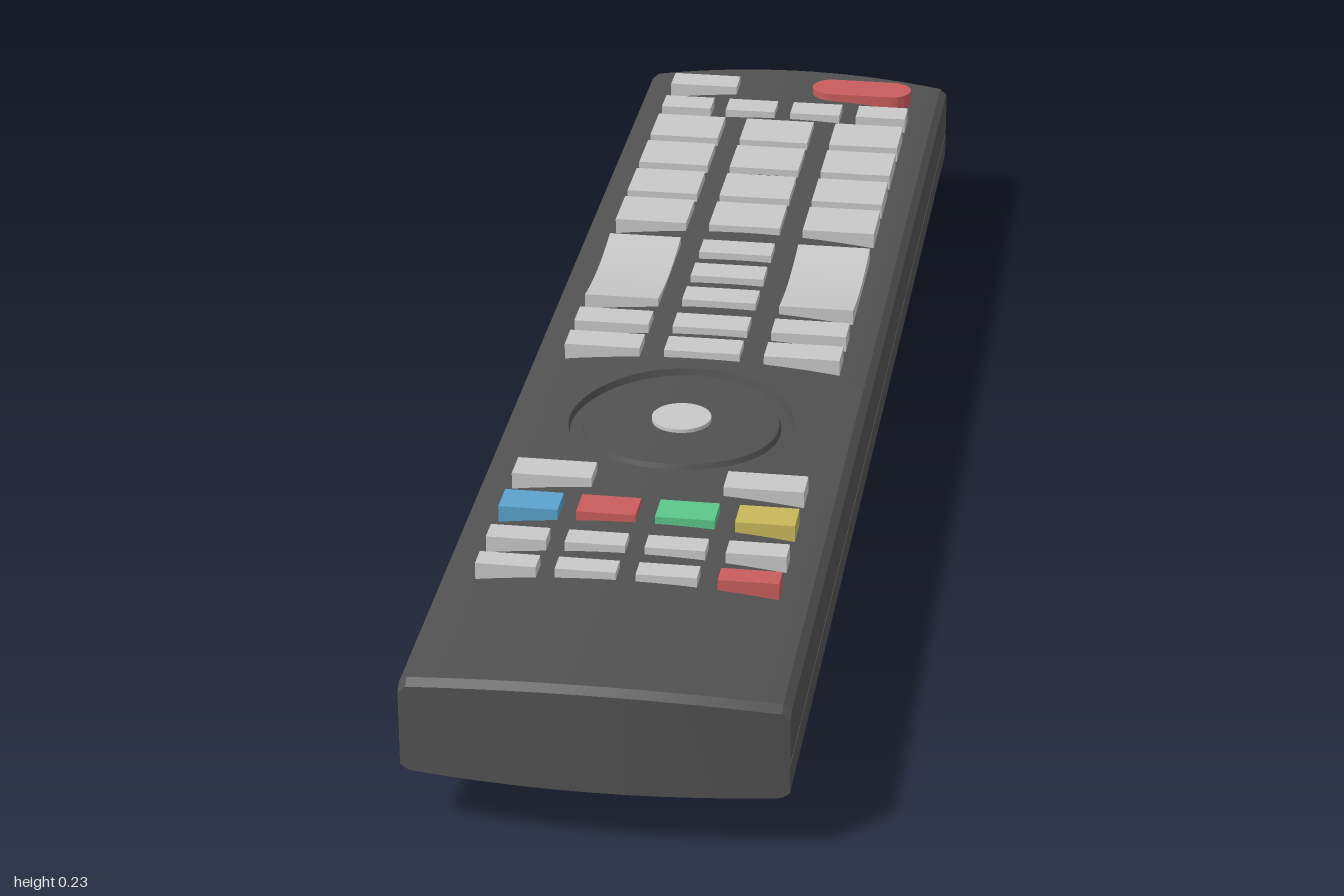
import * as THREE from 'three';
import { toCreasedNormals } from 'three/addons/utils/BufferGeometryUtils.js';

const W = 0.238, TOP = 0.228, DIAL_Z = 0.27;
const crown = x => 0.225 - 0.018 * (x / TOP) ** 2;
const lerp = THREE.MathUtils.lerp;
const P = (x, y, z) => new THREE.Vector3(x, y, z);

function material(name, color) {
  const m = new THREE.MeshStandardMaterial({ color });
  m.name = name;
  return m;
}

function fromTriangles(points) {
  return toCreasedNormals(new THREE.BufferGeometry().setFromPoints(points), 0.45);
}

// Skin a list of closed rings; keep(ring, i) can leave quads out
function loft(rings, keep = () => true) {
  const out = [];
  for (let r = 0; r + 1 < rings.length; r++) {
    const a = rings[r], b = rings[r + 1], n = a.length;
    for (let i = 0; i < n; i++) {
      if (!keep(r, i)) continue;
      const j = (i + 1) % n;
      out.push(a[i], a[j], b[j], a[i], b[j], b[i]);
    }
  }
  return out;
}

// Height of the underside: sloped ends and a finger hollow
function underside(z) {
  const u = (z - 0.05) / 0.12;
  if (Math.abs(u) < 1) return 0.007 + 0.028 * (1 - u * u);
  const keys = [[-1, 0.083], [-0.86, 0.016], [-0.82, 0.007], [0.82, 0.007], [0.85, 0.016], [0.978, 0.083]];
  for (let i = 0; i < 5; i++) {
    const [z0, y0] = keys[i], [z1, y1] = keys[i + 1];
    if (z <= z1) return lerp(y0, y1, (z - z0) / (z1 - z0));
  }
  return 0.083;
}

// Cross-section of the case at z, as matching top and bottom rows plus seam grooves
function section(z) {
  const drop = z === -1 || z === 0.978 ? 0.008 : 0;
  const yb = underside(z), r = Math.min(0.015, 0.088 - yb);
  const slant = y => W - (0.09 - y) * 1.2;
  const place = ([x, y]) => P(x, y, z + (z > 0.9 ? 0.022 * (1 - (x / W) ** 2) : 0));
  const top = [[W, 0.198 - drop]];
  for (let i = 0; i <= 16; i++) {
    const x = lerp(TOP, -TOP, i / 16);
    top.push([x, crown(x) - drop]);
  }
  top.push([-W, 0.198 - drop]);
  const bend = new THREE.QuadraticBezierCurve(
    new THREE.Vector2(slant(yb + r), yb + r), new THREE.Vector2(slant(yb), yb),
    new THREE.Vector2(slant(yb) - 1.2 * r, yb)).getPoints(3).map(p => [p.x, p.y]);
  const side = [[W, 0.09], ...bend], flat = bend[3][0];
  const bottom = [...side];
  for (let i = 1; i <= 9; i++) bottom.push([lerp(flat, -flat, i / 10), yb]);
  bottom.push(...side.map(([x, y]) => [-x, y]).reverse());
  const groove = [[W, 0.127], [0.226, 0.127], [0.226, 0.131], [W, 0.131]];
  const loop = [...top, ...groove.map(([x, y]) => [-x, y]).reverse(), ...[...bottom].reverse(), ...groove];
  return { loop: loop.map(place), top: top.map(place), bottom: bottom.map(place) };
}

function caseGeometry() {
  const zs = [-1, -0.99, -0.86, -0.84, -0.82];
  for (let i = 0; i <= 12; i++) zs.push(-0.07 + 0.02 * i);
  zs.push(0.43, 0.82, 0.835, 0.85, 0.968, 0.978);
  const sections = zs.map(section);
  // The crown is left open around the dial
  const open = r => { const m = (zs[r] + zs[r + 1]) / 2; return m > 0.11 && m < 0.43; };
  const tris = loft(sections.map(s => s.loop), (r, i) => !(open(r) && i >= 1 && i <= 16));
  // Curved front wall
  const { top, bottom } = sections[sections.length - 1];
  for (let i = 0; i + 1 < top.length; i++) {
    tris.push(top[i], top[i + 1], bottom[i + 1], top[i], bottom[i + 1], bottom[i]);
  }
  return fromTriangles(tris);
}

// Crown around the dial, its ring groove and the slightly sunk disc
function dialGeometry() {
  const edge = [], H = 0.16, n = 16;
  for (let i = 0; i < n; i++) edge.push([lerp(-TOP, TOP, i / n), H]);
  for (let i = 0; i < n; i++) edge.push([TOP, lerp(H, -H, i / n)]);
  for (let i = 0; i < n; i++) edge.push([lerp(TOP, -TOP, i / n), -H]);
  for (let i = 0; i < n; i++) edge.push([-TOP, lerp(-H, H, i / n)]);
  const ring = (radius, depth, t = 1) => edge.map(([x, z]) => {
    const k = radius / Math.hypot(x, z);
    const px = lerp(x, x * k, t), pz = lerp(z, z * k, t);
    return P(px, crown(px) - depth, DIAL_Z + pz);
  });
  return fromTriangles(loft([
    ring(0.152, 0, 0), ring(0.152, 0, 0.5), ring(0.152, 0), ring(0.15, 0.01), ring(0.134, 0.01),
    ring(0.131, 0.003), ring(0.08, 0.003), ring(0.02, 0.003)]));
}

// Arched niche outline in the back wall
function archPoints() {
  const pts = [[0.08, 0.09]];
  for (let i = 0; i <= 20; i++) {
    const a = Math.PI * i / 20;
    pts.push([0.08 * Math.cos(a), 0.118 + 0.08 * Math.sin(a)]);
  }
  pts.push([-0.08, 0.09]);
  return pts.map(([x, y]) => new THREE.Vector2(x, y));
}

export function createModel() {
  const model = new THREE.Group();
  model.name = 'remoteControl';
  const dark = material('charcoal', 0x515151), grey = material('lightGrey', 0xc8c8c8);
  const red = material('red', 0xc95c5c), blue = material('blue', 0x5aa3cc);
  const green = material('green', 0x5cc688), yellow = material('yellow', 0xc8b75a);
  const add = (name, geometry, mat, x = 0, y = 0, z = 0) => {
    const mesh = new THREE.Mesh(geometry, mat);
    mesh.name = name;
    mesh.position.set(x, y, z);
    model.add(mesh);
    return mesh;
  };

  // Case
  add('case', caseGeometry(), dark);
  add('dial', dialGeometry(), dark);

  // Back wall with the emitter niche
  const arch = archPoints();
  const wall = new THREE.Shape(section(-1).loop.map(p => new THREE.Vector2(p.x, p.y)));
  wall.holes.push(new THREE.Path(arch));
  add('backWall', new THREE.ShapeGeometry(wall).rotateY(Math.PI), dark, 0, 0, -1);
  const inward = [...arch].reverse();
  add('nicheSides', fromTriangles(loft([-1, -0.93].map(z => inward.map(p => P(p.x, p.y, z))))), dark);
  add('nicheBack', new THREE.ShapeGeometry(new THREE.Shape(arch)).rotateY(Math.PI), dark, 0, 0, -0.93);
  add('emitterStem', new THREE.CylinderGeometry(0.026, 0.026, 0.035, 24).rotateX(Math.PI / 2), grey, 0, 0.132, -0.947);
  add('emitter', new THREE.SphereGeometry(0.026, 24, 16), grey, 0, 0.132, -0.965);

  // Buttons
  const button = (x, z, w, d, mat = grey) =>
    add('button', new THREE.BoxGeometry(w, 0.035, d), mat, x, 0.2175, z);
  const three = [-0.139, 0, 0.139], four = [-0.153, -0.052, 0.05, 0.153];
  button(-0.139, -0.905, 0.105, 0.046);
  for (const x of four) {
    button(x, -0.81, 0.077, 0.046);
    button(x, 0.64, 0.077, 0.034);
    button(x, 0.712, 0.077, 0.032, x === 0.153 ? red : grey);
  }
  [blue, red, green, yellow].forEach((mat, i) => button(four[i], 0.55, 0.077, 0.048, mat));
  for (const x of three) {
    for (const z of [-0.713, -0.605, -0.495, -0.387]) button(x, z, 0.105, 0.086);
    for (const z of [-0.013, 0.064]) button(x, z, 0.105, 0.046);
  }
  for (const z of [-0.268, -0.185, -0.103]) button(0, z, 0.105, 0.045);
  for (const x of [-0.139, 0.139]) {
    button(x, 0.458, 0.105, 0.046);
    // Rocker with a dished top
    const rocker = new THREE.BoxGeometry(0.105, 0.035, 0.215, 1, 1, 12);
    const p = rocker.attributes.position;
    for (let i = 0; i < p.count; i++) {
      if (p.getY(i) > 0) p.setY(i, 0.0175 - 0.009 * (1 - (p.getZ(i) / 0.1075) ** 2));
    }
    add('rocker', toCreasedNormals(rocker, 0.5), grey, x, 0.2175, -0.185);
  }

  // Power button: a pill shape
  const pill = new THREE.Shape();
  pill.absarc(0.047, 0, 0.031, -Math.PI / 2, Math.PI / 2);
  pill.absarc(-0.047, 0, 0.031, Math.PI / 2, Math.PI * 1.5);
  const pillGeometry = new THREE.ExtrudeGeometry(pill, { depth: 0.035, bevelEnabled: false, curveSegments: 16 });
  add('powerButton', toCreasedNormals(pillGeometry.rotateX(-Math.PI / 2), 0.5), red, 0.111, 0.2, -0.905);
  add('centreButton', new THREE.CylinderGeometry(0.04, 0.04, 0.026, 32), grey, 0, 0.214, DIAL_Z);

  // Underside
  add('batteryCover', new THREE.BoxGeometry(0.15, 0.004, 0.37), dark, 0, 0.0075, 0.615);
  add('coverLatch', new THREE.BoxGeometry(0.06, 0.004, 0.03), dark, 0, 0.0075, 0.415);
  for (const x of [-0.11, 0.11]) {
    for (const z of [-0.81, 0.815]) add('foot', new THREE.CylinderGeometry(0.008, 0.008, 0.012, 16), dark, x, 0.006, z);
  }
  return model;
}
